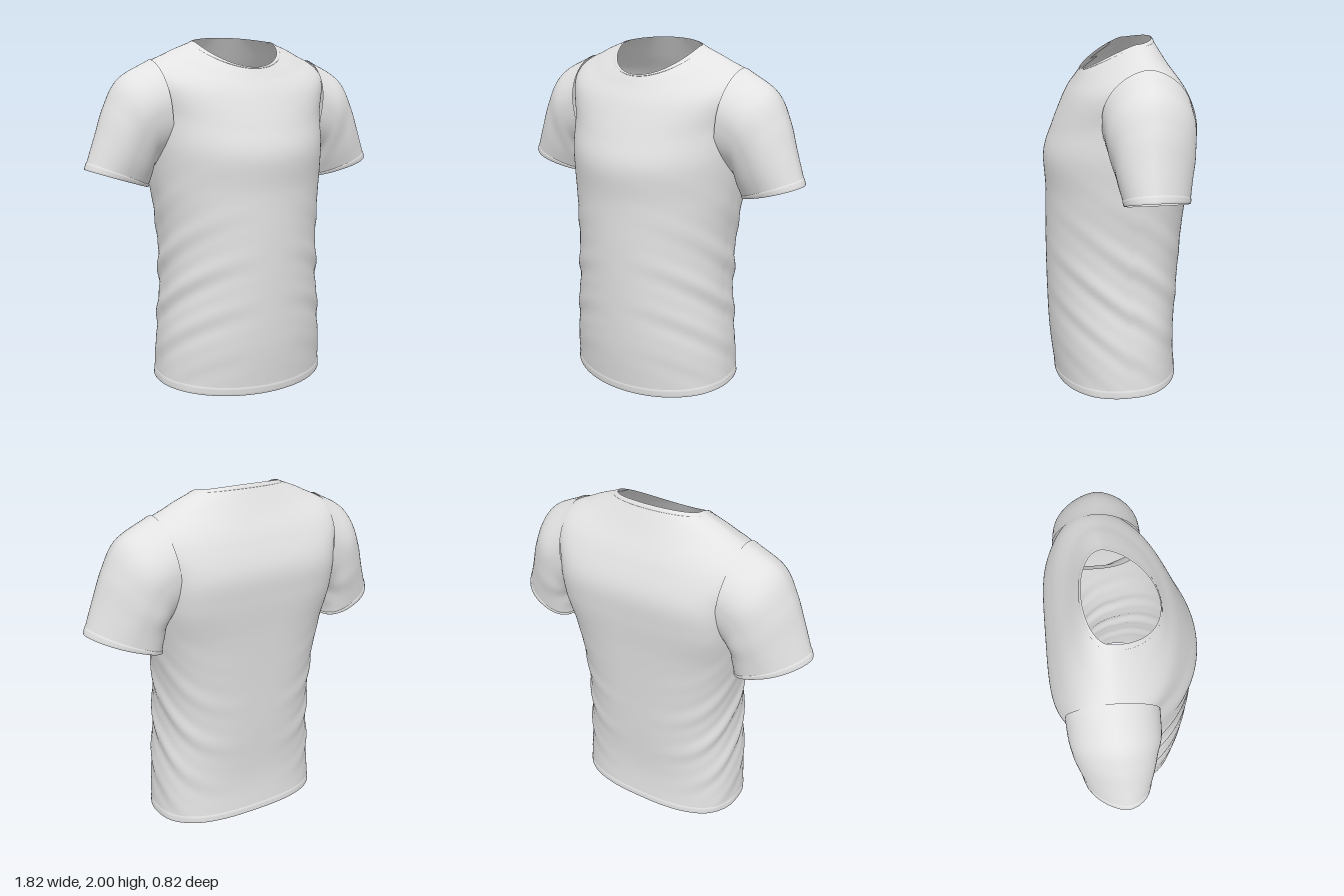
import * as THREE from 'three';

const cloth = new THREE.MeshStandardMaterial({ color: 0xe2e2e2, side: THREE.DoubleSide });
cloth.name = 'light grey cloth';

// Torso sections, hem to neck:
// half width, side z, front z, back z, side y, front y, back y, back squareness
const TORSO = [
  [0.515, 0.00, 0.365, -0.340, 0.035, 0.00, 0.06, 2.6],
  [0.500, 0.00, 0.395, -0.328, 0.30, 0.28, 0.30, 2.6],
  [0.475, 0.00, 0.405, -0.348, 0.62, 0.60, 0.62, 2.6],
  [0.478, -0.02, 0.405, -0.365, 0.92, 0.90, 0.92, 2.7],
  [0.505, -0.04, 0.400, -0.385, 1.18, 1.15, 1.20, 3.0],
  [0.525, -0.06, 0.408, -0.405, 1.40, 1.35, 1.42, 3.9],
  [0.535, -0.08, 0.360, -0.405, 1.60, 1.50, 1.58, 4.0],
  [0.565, -0.09, 0.285, -0.350, 1.81, 1.67, 1.73, 3.0],
  [0.410, -0.09, 0.225, -0.272, 1.91, 1.77, 1.87, 2.2],
  [0.250, -0.08, 0.190, -0.200, 1.975, 1.83, 2.00, 2.0],
];

// Sleeve sections, cuff to armhole: top x, top y, under x, under y, front z, back z
const SLEEVE = [
  [0.910, 1.28, 0.535, 1.16, 0.070, -0.270],
  [0.845, 1.46, 0.525, 1.22, 0.100, -0.290],
  [0.785, 1.62, 0.510, 1.28, 0.120, -0.312],
  [0.695, 1.77, 0.490, 1.33, 0.140, -0.328],
  [0.510, 1.872, 0.450, 1.37, 0.145, -0.335],
];

// Smooth interpolation through a list of sections, v from 0 to 1
function sample(rows, v) {
  const last = rows.length - 1;
  const i = Math.min(Math.floor(v * last), last - 1);
  const t = v * last - i;
  return rows[i].map((b, k) => {
    const c = rows[i + 1][k];
    const a = i > 0 ? rows[i - 1][k] : 2 * b - c;
    const d = i + 2 <= last ? rows[i + 2][k] : 2 * c - b;
    return b + 0.5 * t * (c - a + t * (2 * a - 5 * b + 4 * c - d + t * (3 * (b - c) + d - a)));
  });
}

const bump = (x, centre, width) => Math.exp(-(((x - centre) / width) ** 2));
const power = (x, p) => Math.sign(x) * Math.abs(x) ** p;

// Point on the torso; puff pushes it outward
function torsoPoint(angle, v, puff) {
  const [w, zs, zf, zb, ys, yf, yb, n] = sample(TORSO, v);
  const c = Math.cos(angle), s = Math.sin(angle);
  const p = s >= 0 ? 1 : 2 / n;
  const y = ys + ((s >= 0 ? yf : yb) - ys) * Math.abs(s) ** (s >= 0 ? 1.25 : 1.5);
  // Slanting folds gathered round the waist and flanks
  const flank = Math.abs(c) ** 1.5 * bump(y, 0.6, 0.4);
  const slant = y - 0.3 * s + (c > 0 ? 0 : 0.04);
  const folds = flank * (0.007 * Math.sin(slant * 25) + 0.004 * Math.sin(slant * 47 + 1));
  const out = puff + folds;
  return [
    power(c, p) * w + c * out,
    y,
    zs + power(Math.abs(s), p) * (s >= 0 ? zf - zs : zb - zs) + s * out,
  ];
}

// Point on a sleeve, narrow on top and squarer under the arm;
// side is +1 for the left, -1 for the right
function sleevePoint(side) {
  return (angle, v, puff) => {
    const [tx, ty, ux, uy, zf, zb] = sample(SLEEVE, v);
    const under = Math.cos(angle) < 0;
    const c = power(Math.cos(angle), under ? 0.8 : 1);
    const s = power(Math.sin(angle) * side, under ? 0.8 : 1.2);
    const dx = (tx - ux) / 2, dy = (ty - uy) / 2, len = Math.hypot(dx, dy);
    const fold = 0.005 * bump(v, 0.55, 0.25) * Math.sin(angle * side * 5 + v * 9) * (1 - c) / 2;
    const r = 1 + (puff + fold) / len;
    return [
      side * ((tx + ux) / 2 + c * dx * r),
      (ty + uy) / 2 + c * dy * r,
      (zf + zb) / 2 + 0.045 * c * (1 - v) + s * ((zf - zb) / 2 + puff + fold),
    ];
  };
}

// Closed-ring skin over a point rule, from v0 to v1, with puff as a function of t
function skin(name, point, v0, v1, around, along, puff = () => 0) {
  const positions = [], index = [];
  for (let j = 0; j <= along; j++) {
    const t = j / along;
    for (let i = 0; i < around; i++) {
      positions.push(...point((i / around) * Math.PI * 2, v0 + (v1 - v0) * t, puff(t)));
    }
  }
  for (let j = 0; j < along; j++) {
    for (let i = 0; i < around; i++) {
      const k = (i + 1) % around;
      const a = j * around + i, b = j * around + k;
      const c = a + around, d = b + around;
      index.push(a, c, b, b, c, d);
    }
  }
  const geometry = new THREE.BufferGeometry();
  geometry.setAttribute('position', new THREE.Float32BufferAttribute(positions, 3));
  geometry.setIndex(index);
  geometry.computeVertexNormals();
  const mesh = new THREE.Mesh(geometry, cloth);
  mesh.name = name;
  return mesh;
}

export function createModel() {
  const shirt = new THREE.Group();
  shirt.name = 'shirt';
  const raised = (t) => 0.003 * Math.min(1, 6 * t, 6 * (1 - t));

  // Body with its bottom hem and neck band
  shirt.add(skin('body', torsoPoint, 0, 1, 144, 120));
  shirt.add(skin('bottomHem', torsoPoint, 0, 0.02, 144, 6, raised));
  shirt.add(skin('neckBand', torsoPoint, 0.982, 1, 144, 6, raised));

  // Sleeves with their cuffs
  for (const [side, label] of [[1, 'left'], [-1, 'right']]) {
    const point = sleevePoint(side);
    shirt.add(skin(label + 'Sleeve', point, 0, 1, 64, 40));
    shirt.add(skin(label + 'Cuff', point, 0, 0.055, 64, 6, raised));
  }
  return shirt;
}
